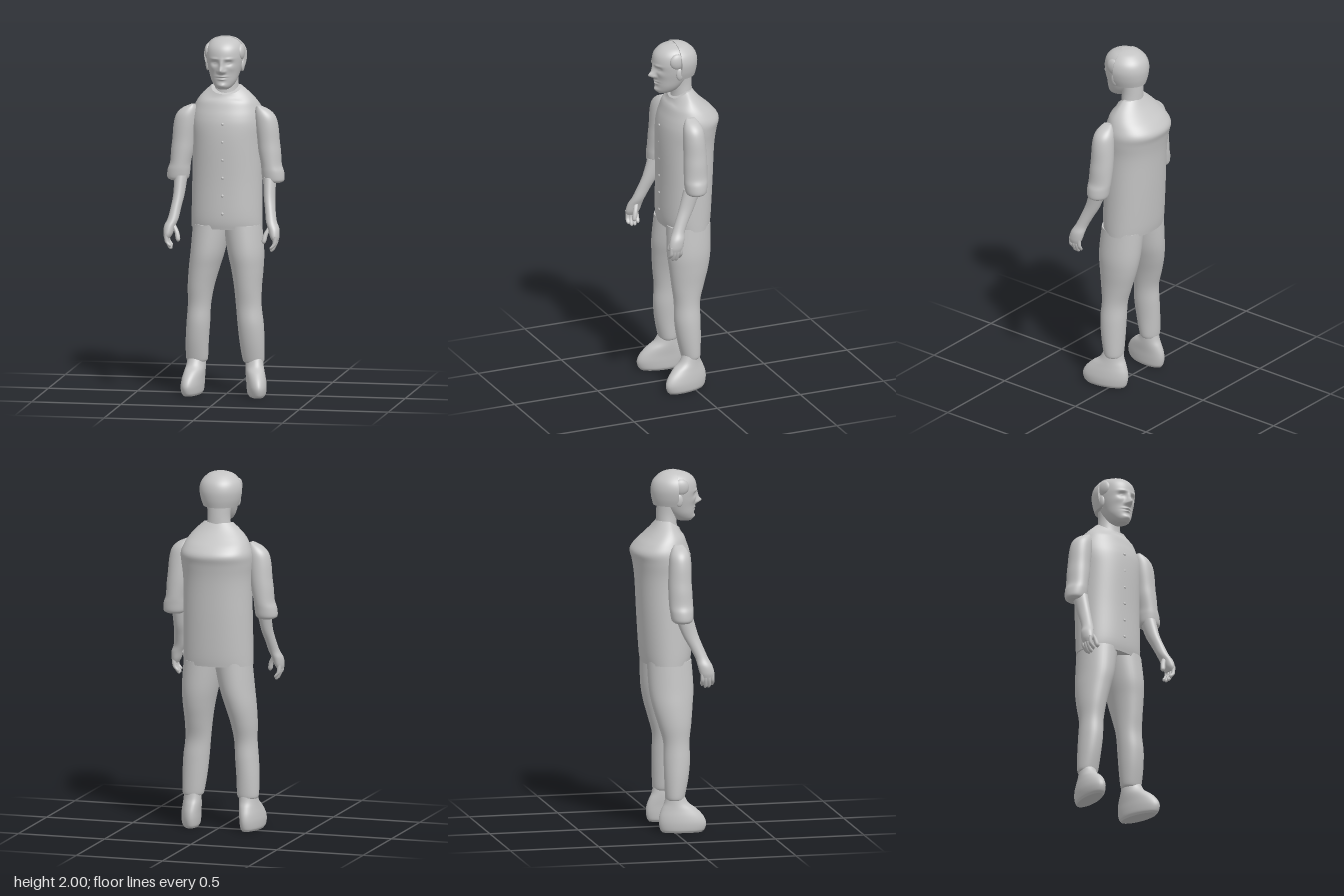
import * as THREE from 'three';

const grey = new THREE.MeshStandardMaterial({ color: 0xc4c4c4 });
grey.name = 'plainGrey';

// Smooth Catmull-Rom blend of four numbers
const blend = (a, b, c, d, t) =>
  b + 0.5 * t * (c - a + t * (2 * a - 5 * b + 4 * c - d + t * (3 * (b - c) + d - a)));

// Skin over horizontal rounded sections, bottom to top: [y, xMin, xMax, zMin, zMax]
function loft(sections, { segs = 40, steps = 5, power = 2, rule } = {}) {
  const rings = [];
  const last = sections.length - 1;
  const at = i => sections[Math.min(last, Math.max(0, i))];
  for (let i = 0; i < last; i++)
    for (let s = 0; s < steps; s++)
      rings.push(at(i).map((v, k) => blend(at(i - 1)[k], v, at(i + 1)[k], at(i + 2)[k], s / steps)));
  rings.push(sections[last]);

  const pos = [], index = [];
  const round = v => Math.sign(v) * Math.abs(v) ** (2 / power);
  const p = new THREE.Vector3();
  const addRing = ([y, x0, x1, z0, z1], size = 1) => {
    for (let j = 0; j < segs; j++) {
      const a = (j / segs) * Math.PI * 2;
      p.set((x0 + x1) / 2 + size * round(Math.cos(a)) * (x1 - x0) / 2, y,
        (z0 + z1) / 2 + size * round(Math.sin(a)) * (z1 - z0) / 2);
      if (rule) rule(p);
      pos.push(p.x, p.y, p.z);
    }
  };
  rings.forEach(r => addRing(r));
  const join = (lo, hi) => {
    for (let j = 0; j < segs; j++) {
      const k = (j + 1) % segs;
      index.push(lo + j, hi + j, lo + k, lo + k, hi + j, hi + k);
    }
  };
  for (let i = 0; i < rings.length - 1; i++) join(i * segs, (i + 1) * segs);
  // Closed ends with a crisp rim
  const end = rings.length * segs;
  addRing(rings[0], 0.001);
  addRing(rings[0]);
  addRing(rings[rings.length - 1]);
  addRing(rings[rings.length - 1], 0.001);
  join(end, end + segs);
  join(end + 2 * segs, end + 3 * segs);

  const geo = new THREE.BufferGeometry();
  geo.setAttribute('position', new THREE.Float32BufferAttribute(pos, 3));
  geo.setIndex(index);
  geo.computeVertexNormals();
  return geo;
}

const sym = rows => rows.map(([y, w, z0, z1]) => [y, -w, w, z0, z1]);
const mirror = (rows, s) => (s > 0 ? rows : rows.map(([y, a, b, c, d]) => [y, -b, -a, c, d]));

// Bumps and hollows of the face: [x, y, width, height, depth]
const features = [
  [0, 1.823, 0.015, 0.018, 0.036], [0, 1.855, 0.012, 0.026, 0.016],
  [0, 1.788, 0.026, 0.006, 0.008], [0, 1.781, 0.026, 0.003, -0.006], [0, 1.774, 0.02, 0.006, 0.008],
  [0, 1.738, 0.025, 0.013, 0.01],
];
for (const s of [-1, 1]) features.push(
  [s * 0.038, 1.864, 0.02, 0.013, -0.013], [s * 0.038, 1.863, 0.011, 0.006, 0.006],
  [s * 0.04, 1.887, 0.024, 0.007, 0.006], [s * 0.017, 1.817, 0.008, 0.008, 0.01],
  [s * 0.055, 1.835, 0.02, 0.018, 0.004]);

function faceRule(p) {
  const front = THREE.MathUtils.smoothstep(p.z, 0.05, 0.11);
  let dz = 0;
  for (const [x, y, w, h, d] of features)
    dz += d * Math.exp(-(((p.x - x) / w) ** 2) - ((p.y - y) / h) ** 2);
  p.z += dz * front;
}

export function createModel() {
  const model = new THREE.Group();
  model.name = 'standingMan';
  const add = (name, geo, parent = model) => {
    const mesh = new THREE.Mesh(geo, grey);
    mesh.name = name;
    parent.add(mesh);
    return mesh;
  };
  const ball = (name, x, y, z, sx, sy, sz, parent) => {
    const mesh = add(name, new THREE.SphereGeometry(1, 24, 16), parent);
    mesh.position.set(x, y, z);
    mesh.scale.set(sx, sy, sz);
    return mesh;
  };

  // Shirt, with its collar dipping at the front
  add('shirt', loft(sym([
    [0.93, 0.197, -0.143, 0.12], [1.0, 0.197, -0.152, 0.13], [1.2, 0.194, -0.165, 0.13],
    [1.4, 0.192, -0.176, 0.134], [1.5, 0.2, -0.19, 0.13], [1.555, 0.2, -0.202, 0.12],
    [1.6, 0.185, -0.172, 0.105], [1.64, 0.163, -0.128, 0.092], [1.68, 0.13, -0.088, 0.082],
    [1.722, 0.084, -0.056, 0.068],
  ]), {
    segs: 64, power: 2.15, rule: p => {
      const high = THREE.MathUtils.smoothstep(p.y, 1.62, 1.72);
      const front = THREE.MathUtils.clamp(p.z / 0.068, 0, 1);
      p.y -= 0.045 * high * front;
    },
  }));
  for (let i = 0; i < 6; i++)
    ball('button', 0, 1.02 + i * 0.1, 0.131, 0.008, 0.008, 0.005);

  // Head
  const head = new THREE.Group();
  head.name = 'head';
  model.add(head);
  add('face', loft(sym([
    [1.715, 0.028, 0.07, 0.138], [1.73, 0.05, 0.03, 0.148], [1.76, 0.07, 0.0, 0.152],
    [1.8, 0.084, -0.03, 0.155], [1.85, 0.097, -0.05, 0.161], [1.9, 0.102, -0.06, 0.167],
    [1.945, 0.096, -0.06, 0.156], [1.978, 0.07, -0.035, 0.122], [1.996, 0.025, 0.01, 0.07],
  ]), { segs: 96, steps: 10, rule: faceRule }), head);
  add('neck', loft(sym([
    [1.64, 0.075, -0.065, 0.065], [1.7, 0.068, -0.06, 0.055], [1.76, 0.064, -0.058, 0.055],
    [1.83, 0.07, -0.055, 0.06],
  ])), head);
  // Hair shell, cut straight in front of the ears
  add('hair', loft(sym([
    [1.808, 0.098, -0.075, 0.155], [1.85, 0.113, -0.085, 0.168], [1.9, 0.12, -0.088, 0.17],
    [1.945, 0.108, -0.074, 0.155], [1.98, 0.075, -0.038, 0.12], [1.994, 0.045, -0.005, 0.09],
    [2.0, 0.015, 0.025, 0.06],
  ]), { segs: 64, rule: p => { p.z = Math.min(p.z, 0.043); } }), head);
  for (const s of [-1, 1]) {
    ball('ear', s * 0.097, 1.842, 0.048, 0.012, 0.036, 0.022, head);
    ball('templeHair', s * 0.09, 1.915, 0.06, 0.022, 0.045, 0.045, head);
  }

  // Arms
  for (const s of [-1, 1]) {
    const arm = new THREE.Group();
    arm.name = s > 0 ? 'leftArm' : 'rightArm';
    model.add(arm);
    const part = (name, rows, opt) => add(name, loft(mirror(rows, s), opt), arm);
    part('sleeve', [
      [1.19, 0.222, 0.312, -0.015, 0.07], [1.205, 0.207, 0.328, -0.032, 0.085],
      [1.25, 0.2, 0.325, -0.04, 0.09], [1.29, 0.197, 0.312, -0.044, 0.089],
      [1.36, 0.183, 0.307, -0.046, 0.087], [1.42, 0.176, 0.3, -0.045, 0.084],
      [1.5, 0.166, 0.293, -0.04, 0.083], [1.555, 0.163, 0.278, -0.033, 0.078],
      [1.59, 0.164, 0.245, -0.018, 0.065], [1.612, 0.172, 0.198, 0.0, 0.048],
    ]);
    part('forearm', [
      [0.885, 0.286, 0.32, 0.13, 0.195], [0.91, 0.272, 0.325, 0.118, 0.2],
      [0.95, 0.26, 0.322, 0.108, 0.19], [0.99, 0.245, 0.305, 0.098, 0.17],
      [1.05, 0.235, 0.293, 0.068, 0.145], [1.12, 0.222, 0.285, 0.03, 0.118],
      [1.22, 0.212, 0.285, -0.01, 0.09],
    ]);
    // Finger from its tip up to the palm: each point is [x, y, z]
    const finger = (name, r, ...points) => part(name, points.map(([x, y, z], i) => {
      const q = i ? r : r * 0.4;
      return [y, x - q, x + q, z - q, z + q];
    }), { segs: 14 });
    for (let i = 0; i < 4; i++) {
      const z = 0.132 + i * 0.019, tip = 0.835 - 0.014 * Math.sin(i * 1.1);
      finger('finger', 0.011, [0.282, tip, z + 0.002], [0.287, tip + 0.012, z + 0.002],
        [0.302, 0.87, z], [0.305, 0.91, z]);
    }
    finger('thumb', 0.013, [0.24, 0.868, 0.175], [0.241, 0.882, 0.174],
      [0.25, 0.92, 0.165], [0.272, 0.96, 0.15]);
  }

  // Trousers, slightly different left and right: [y, inner x, outer x, back z, front z]
  const depth = { 0.18: [-0.04, 0.055], 0.2: [-0.046, 0.063], 0.3: [-0.05, 0.084], 0.4: [-0.052, 0.095],
    0.5: [-0.053, 0.093], 0.6: [-0.08, 0.105], 0.7: [-0.108, 0.116], 0.8: [-0.124, 0.125], 0.95: [-0.13, 0.118] };
  const heights = [0.18, 0.2, 0.3, 0.4, 0.5, 0.6, 0.7, 0.8, 0.95];
  const legs = [
    ['left', 1, [0.1, 0.09, 0.075, 0.065, 0.056, 0.045, 0.028, 0.006, -0.02],
      [0.205, 0.212, 0.214, 0.21, 0.198, 0.198, 0.205, 0.208, 0.195]],
    ['right', -1, [0.112, 0.104, 0.098, 0.09, 0.085, 0.068, 0.04, 0.01, -0.02],
      [0.218, 0.226, 0.226, 0.22, 0.213, 0.215, 0.21, 0.2, 0.188]],
  ];
  for (const [side, s, inner, outer] of legs)
    add(side + 'TrouserLeg', loft(mirror(
      heights.map((y, i) => [y, inner[i], outer[i], ...depth[y]]), s)));

  // Shoes, with toes turned outwards
  for (const [side, s, x, turn] of [['left', 1, 0, 0.22], ['right', -1, 0.012, 0.1]])
    add(side + 'Shoe', loft(mirror([
      [0.004, 0.125, 0.205, -0.06, 0.15], [0.012, 0.114, 0.217, -0.074, 0.168],
      [0.05, 0.109, 0.222, -0.083, 0.178], [0.09, 0.107, 0.219, -0.08, 0.162],
      [0.13, 0.104, 0.212, -0.066, 0.125], [0.165, 0.104, 0.206, -0.05, 0.08],
      [0.22, 0.107, 0.2, -0.04, 0.052],
    ].map(([y, a, b, c, d]) => [y, a + x, b + x, c, d]), s), {
      rule: p => { p.x += s * turn * p.z; if (p.y < 0.006) p.y = 0; },
    }));

  return model;
}
